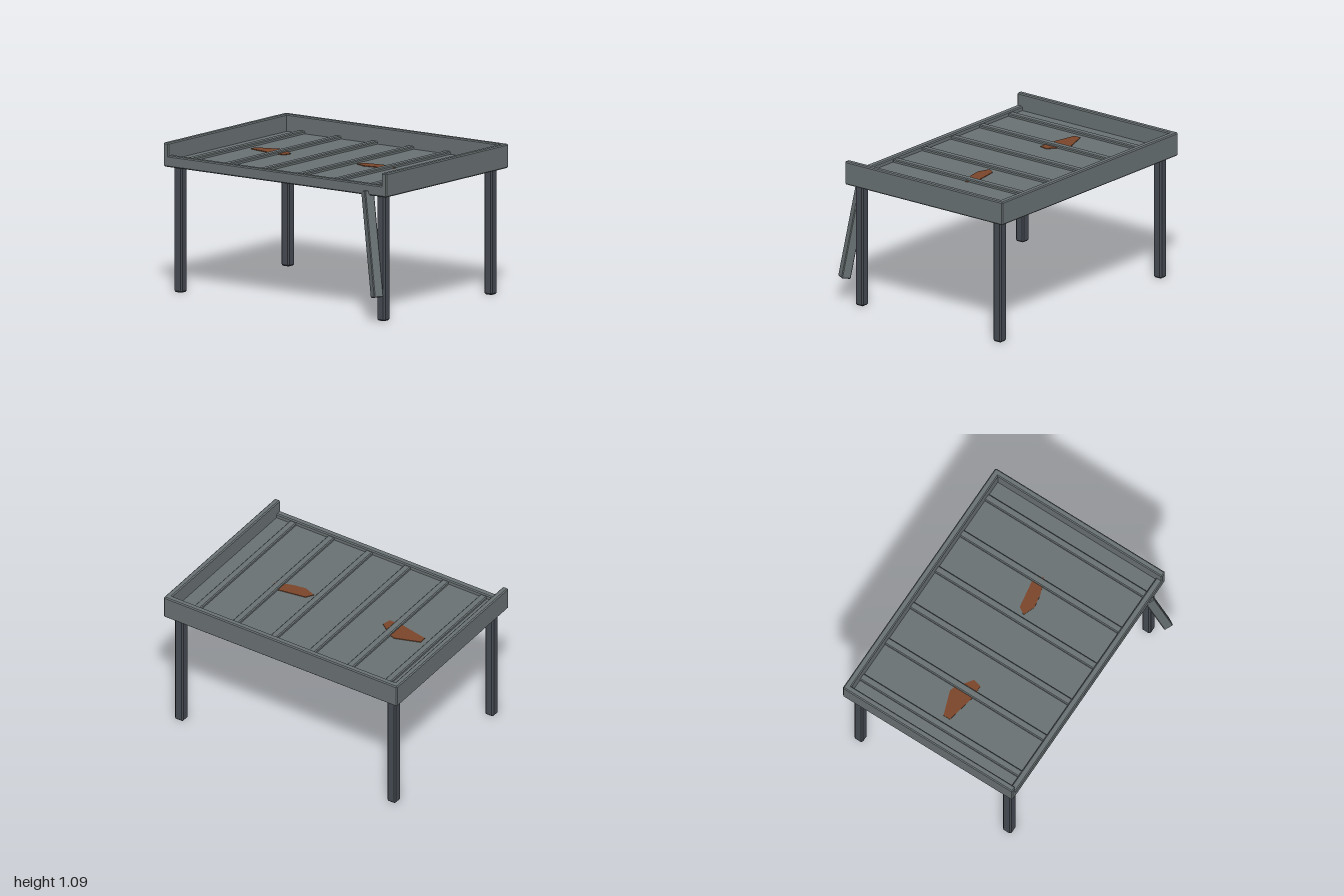
import * as THREE from 'three';
import { ConvexGeometry } from 'three/addons/geometries/ConvexGeometry.js';

const mat = (name, color) => {
  const m = new THREE.MeshStandardMaterial({ color });
  m.name = name;
  return m;
};

// Box with flat chamfers of size c on every edge
function chamferBox(w, h, d, c) {
  const points = [];
  for (const sx of [-1, 1]) for (const sy of [-1, 1]) for (const sz of [-1, 1]) {
    const x = w / 2, y = h / 2, z = d / 2;
    points.push(
      new THREE.Vector3(sx * x, sy * (y - c), sz * (z - c)),
      new THREE.Vector3(sx * (x - c), sy * y, sz * (z - c)),
      new THREE.Vector3(sx * (x - c), sy * (y - c), sz * z));
  }
  return new ConvexGeometry(points);
}

export function createModel() {
  const model = new THREE.Group();
  model.name = 'rustyTray';
  const steel = mat('greySteel', 0x697173);
  const darkSteel = mat('darkSteel', 0x464b53);
  const rust = mat('rust', 0x7a452a);

  // Adds a chamfered box given its extents
  function block(name, material, [x0, x1], [y0, y1], [z0, z1], c) {
    const mesh = new THREE.Mesh(chamferBox(x1 - x0, y1 - y0, z1 - z0, c), material);
    mesh.position.set((x0 + x1) / 2, (y0 + y1) / 2, (z0 + z1) / 2);
    mesh.name = name;
    model.add(mesh);
    return mesh;
  }

  // Tray: floor slab, tall walls on three sides, low lip at the front
  const X = [-1, 1], Z = [-0.77, 0.68], WALL = [0.915, 1.09], FLOOR = 0.965;
  block('trayFloor', steel, X, [0.915, FLOOR], Z, 0.008);
  block('backWall', steel, X, WALL, [-0.77, -0.722], 0.008);
  block('leftWall', steel, [0.955, 1], WALL, Z, 0.008);
  block('rightWall', steel, [-1, -0.955], WALL, Z, 0.008);
  block('frontLip', steel, X, [0.915, 0.997], [0.63, 0.68], 0.008);

  // Ribs running front to back
  for (let i = 0; i < 6; i++) {
    const x = -0.82 + i * 0.3265;
    block('floorRib', steel, [x - 0.027, x + 0.027], [0.95, 0.986], [-0.73, 0.635], 0.007);
  }

  // Rust patches lying on the floor between the ribs
  const patches = [
    [[-0.745, -0.075], [-0.56, -0.14], [-0.515, -0.125], [-0.4, -0.04], [-0.415, 0.025], [-0.525, 0.025], [-0.745, -0.02]],
    [[0.21, -0.015], [0.245, -0.07], [0.46, -0.105], [0.53, -0.05], [0.46, -0.018], [0.4, 0.003], [0.3, 0.02]],
  ];
  for (const outline of patches) {
    const shape = new THREE.Shape(outline.map(([x, z]) => new THREE.Vector2(x, -z)));
    const patch = new THREE.Mesh(
      new THREE.ExtrudeGeometry(shape, { depth: 0.005, bevelEnabled: false }), rust);
    patch.rotation.x = -Math.PI / 2;
    patch.position.y = FLOOR;
    patch.name = 'rustPatch';
    model.add(patch);
  }

  // Four straight legs
  for (const x of [-0.91, 0.91]) for (const z of [-0.675, 0.595]) {
    block('leg', darkSteel, [x - 0.036, x + 0.036], [0, 0.915], [z - 0.036, z + 0.036], 0.011);
  }

  // Loose strut leaning outward from the front left corner
  const bottom = new THREE.Vector3(0.951, 0.19, 0.723);
  const top = new THREE.Vector3(0.812, 0.944, 0.654);
  const axis = top.clone().sub(bottom);
  const strut = new THREE.Mesh(chamferBox(0.072, axis.length(), 0.072, 0.006), steel);
  strut.position.copy(bottom).add(top).multiplyScalar(0.5);
  strut.quaternion.setFromUnitVectors(new THREE.Vector3(0, 1, 0), axis.normalize());
  strut.rotateY(-0.5);
  strut.name = 'leaningStrut';
  model.add(strut);

  return model;
}
